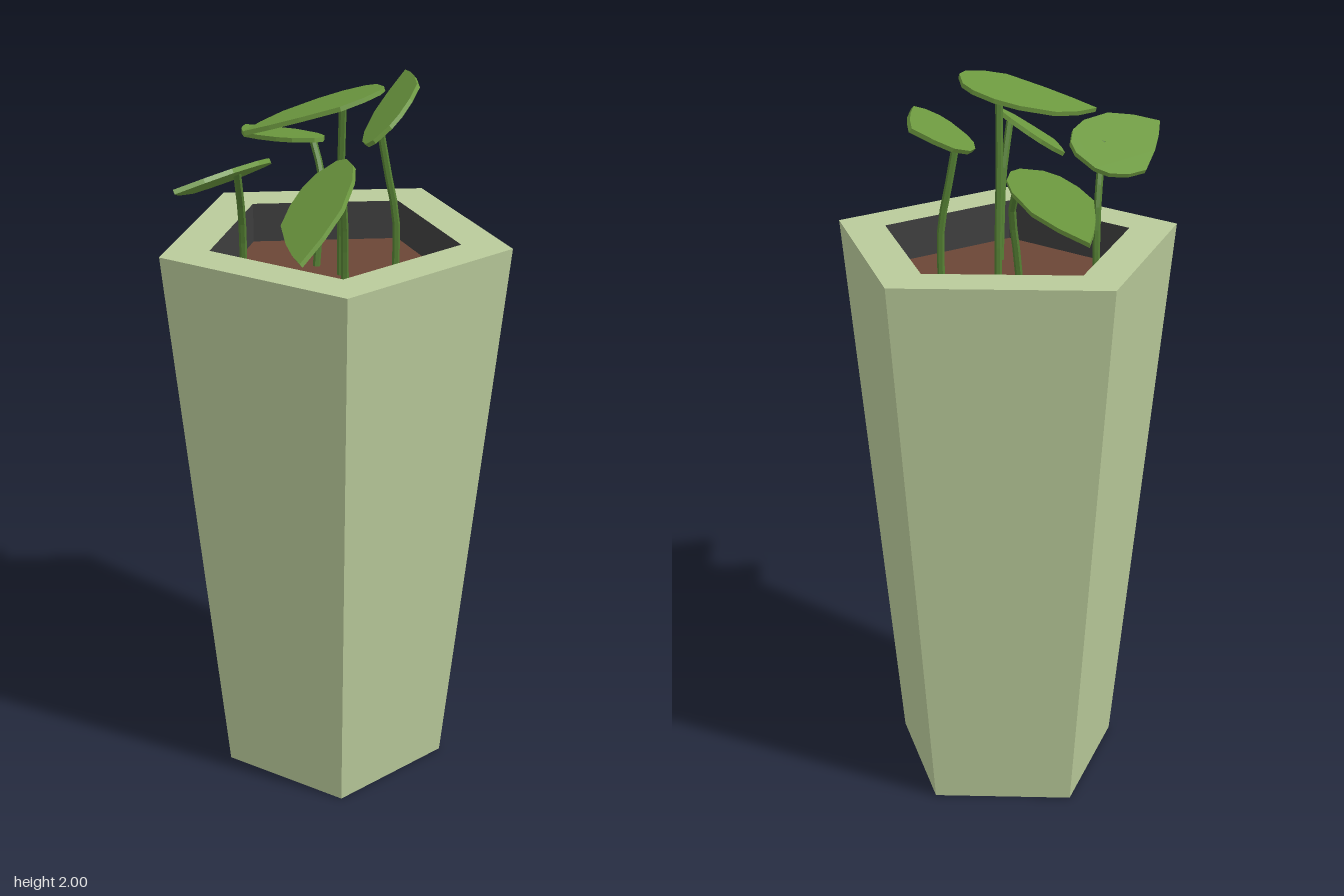
import * as THREE from 'three';

const flat = (name, color) =>
  new THREE.MeshStandardMaterial({ name, color, flatShading: true });

const V = (p) => new THREE.Vector3(...p);

// Leaf half-widths along its length: [position, fuller side, slimmer side]
const LEAF_PROFILE = [
  [0, 0.3, 0.3], [0.06, 0.62, 0.62], [0.2, 0.9, 0.88],
  [0.38, 1, 1], [0.65, 0.88, 0.65], [0.84, 0.5, 0.33],
];
const LEAF_THICKNESS = 0.012;

// base and tip run along the leaf, side is the half-width vector to its left,
// full tells which side is fuller, stem lists points from the soil upwards
const SPROUTS = [
  { name: 'back', base: [-0.07, 1.806, -0.155], tip: [-0.213, 1.742, -0.54], side: [-0.1, -0.003, -0.02], full: -1,
    stem: [[-0.04, 1.475, -0.09], [-0.03, 1.585, -0.106], [-0.02, 1.7, -0.133], [-0.04, 1.79, -0.2]] },
  { name: 'right', base: [0.125, 1.865, 0.015], tip: [0.221, 1.95, -0.306], side: [-0.07, -0.06, 0.01], full: 1,
    stem: [[0.17, 1.475, -0.045], [0.169, 1.62, -0.042], [0.145, 1.75, -0.04], [0.125, 1.86, -0.035]] },
  { name: 'top', base: [0.118, 1.992, 0.03], tip: [-0.233, 1.9, 0.103], side: [0.02, 0.016, 0.106], full: -1,
    stem: [[0.02, 1.475, -0.02], [0.02, 1.585, -0.01], [0.018, 1.77, 0.016], [0.02, 1.962, 0.048]] },
  { name: 'front', base: [-0.03, 1.829, 0.19], tip: [-0.116, 1.7, 0.534], side: [0.087, 0.059, 0.01], full: 1,
    stem: [[0.02, 1.475, 0.13], [0.018, 1.585, 0.143], [0.014, 1.7, 0.17], [-0.003, 1.835, 0.222]] },
  { name: 'left', base: [-0.205, 1.783, 0.02], tip: [-0.41, 1.815, 0.306], side: [0.083, 0.052, 0.055], full: 1,
    stem: [[-0.24, 1.475, 0.025], [-0.24, 1.585, 0.037], [-0.242, 1.67, 0.06], [-0.253, 1.808, 0.13]] },
];

// Thin leaf plate stretched along its axis and side vectors
function leafGeometry({ base, tip, side, full }) {
  const left = LEAF_PROFILE.map(([t, a]) => new THREE.Vector2(t, a * full));
  const right = LEAF_PROFILE.map(([t, , b]) => new THREE.Vector2(t, -b * full));
  const outline = [...left, new THREE.Vector2(1, 0), ...right.reverse()];
  const geometry = new THREE.ExtrudeGeometry(new THREE.Shape(outline), { depth: LEAF_THICKNESS, bevelEnabled: false });
  geometry.translate(0, 0, -LEAF_THICKNESS / 2);
  const axis = V(tip).sub(V(base));
  const across = V(side);
  const normal = axis.clone().cross(across).normalize();
  geometry.applyMatrix4(new THREE.Matrix4().makeBasis(axis, across, normal).setPosition(V(base)));
  return geometry;
}

export function createModel() {
  const model = new THREE.Group();
  model.name = 'pottedPlant';

  const potGreen = flat('paleGreen', 0xb9ca9a);
  const dark = flat('darkGrey', 0x3e3e3e);
  const soilBrown = flat('soilBrown', 0x6b4636);
  const leafGreen = flat('leafGreen', 0x6c983f);
  const stemGreen = flat('stemGreen', 0x547f33);

  const add = (parent, name, geometry, material) => {
    const mesh = new THREE.Mesh(geometry, material);
    mesh.name = name;
    parent.add(mesh);
    return mesh;
  };

  // Five-sided tapered pot, one corner facing the front
  const pot = new THREE.Group();
  pot.name = 'pot';
  pot.position.z = -0.026;
  model.add(pot);
  const R_BASE = 0.326, R_TOP = 0.481, R_IN = 0.345, TOP = 1.585, SOIL = 1.475;
  const pentagon = (name, points, material) =>
    add(pot, name, new THREE.LatheGeometry(points.map((p) => new THREE.Vector2(...p)), 5), material);
  pentagon('potOuterWall', [[R_BASE, 0], [R_TOP, TOP]], potGreen);
  pentagon('potRim', [[R_TOP, TOP], [R_IN, TOP]], potGreen);
  pentagon('potInnerWall', [[R_IN, TOP], [R_IN, SOIL]], dark);
  pentagon('potBottom', [[0, 0], [R_BASE, 0]], dark);
  pentagon('soil', [[R_IN, SOIL], [0, SOIL]], soilBrown);

  // Sprouts: a bent stem and one leaf each
  for (const sprout of SPROUTS) {
    const group = new THREE.Group();
    group.name = sprout.name + 'Sprout';
    model.add(group);
    const path = new THREE.CatmullRomCurve3(sprout.stem.map(V));
    add(group, 'stem', new THREE.TubeGeometry(path, 6, 0.01, 6), stemGreen);
    add(group, 'leaf', leafGeometry(sprout), leafGreen);
  }
  return model;
}
